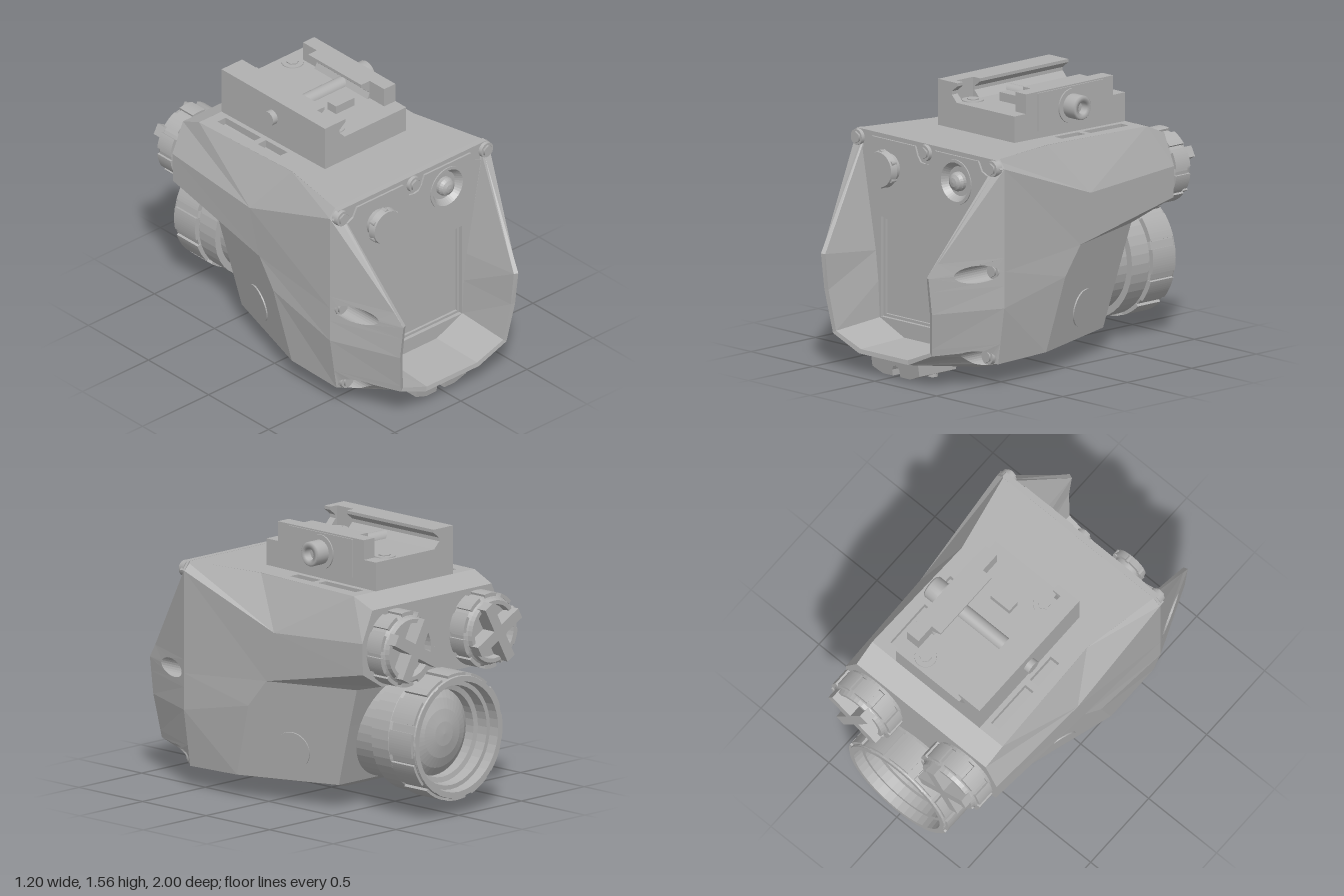
import * as THREE from 'three';

const grey = new THREE.MeshStandardMaterial({ color: 0xb0b0b0, side: THREE.DoubleSide });
grey.name = 'grey';

const flip = ([x, y, z]) => [-x, y, z];
const mirrorRow = (half) => [...half, ...half.map(flip).reverse()];
const mirrorFaces = (faces) => faces.map((f) => f.map(flip).reverse());

// Flat-shaded surface from a list of polygons
function polys(list) {
  const pos = [];
  for (const p of list)
    for (let i = 1; i < p.length - 1; i++) pos.push(...p[0], ...p[i], ...p[i + 1]);
  const g = new THREE.BufferGeometry();
  g.setAttribute('position', new THREE.Float32BufferAttribute(pos, 3));
  g.computeVertexNormals();
  return g;
}
const strip = (a, b) => a.slice(1).map((_, i) => [a[i], b[i], b[i + 1], a[i + 1]]);

// Piecewise-linear lookup over [input, output] pairs in rising order
function lookup(table, v) {
  if (v <= table[0][0]) return table[0][1];
  for (let i = 1; i < table.length; i++) {
    const [a, b] = [table[i - 1], table[i]];
    if (v <= b[0]) return a[1] + (b[1] - a[1]) * (v - a[0]) / (b[0] - a[0]);
  }
  return table[table.length - 1][1];
}

const shapeOf = (pts) => new THREE.Shape(pts.map(([x, y]) => new THREE.Vector2(x, y)));
const circleHole = (x, y, r) => new THREE.Path().absarc(x, y, r, 0, Math.PI * 2, true);
const rectHole = (x0, y0, x1, y1) =>
  new THREE.Path([[x0, y0], [x0, y1], [x1, y1], [x1, y0]].map((p) => new THREE.Vector2(...p)));
function extrude(shape, depth, segs = 16) {
  return new THREE.ExtrudeGeometry(shape, { depth, bevelEnabled: false, curveSegments: segs });
}

export function createModel() {
  const root = new THREE.Group();
  const add = (name, geo, x = 0, y = 0, z = 0, parent = root) => {
    const m = new THREE.Mesh(geo, grey);
    m.name = name;
    m.position.set(x, y, z);
    parent.add(m);
    return m;
  };
  const box = (name, x0, x1, y0, y1, z0, z1) => add(name,
    new THREE.BoxGeometry(x1 - x0, y1 - y0, z1 - z0), (x0 + x1) / 2, (y0 + y1) / 2, (z0 + z1) / 2);
  // Cylinder along z from z0 to z1
  const rod = (name, x, y, z0, z1, r0, r1 = r0, n = 32) => add(name,
    new THREE.CylinderGeometry(r1, r0, z1 - z0, n).rotateX(Math.PI / 2), x, y, (z0 + z1) / 2);
  // Faceted turned part along z
  const latheZ = (name, pts, x, y, z, n = 40) => {
    const g = new THREE.LatheGeometry(pts.map((p) => new THREE.Vector2(...p)), n).rotateX(Math.PI / 2).toNonIndexed();
    g.computeVertexNormals();
    add(name, g, x, y, z);
  };

  // Faceted housing: half of the corners, mirrored across x
  const v = {
    B0: [.56, 1.3, .6], C0: [.6, 1.25, .57], D0: [.6, .66, .57], E0: [.6, .45, .57], F0: [.55, .12, .57], G0: [.4, .08, .57],
    B1: [.46, 1.29, .1], C1: [.58, 1, -.12], D1: [.57, .71, -.05], E1: [.583, .55, .08], F1: [.552, .13, .2], G1: [.4, .092, .2],
    B2: [.48, 1.28, -.65], T2: [.475, 1.22, -.79], C2: [.555, 1.04, -.79], D2: [.55, .86, -.79], U2: [.4, .77, -.79],
    L2: [.406, .72, -.6], E2: [.392, .5, -.53], F2: [.367, .14, -.42], G2: [.27, .11, -.37],
  };
  const corners = (s) => s.split(' ').map((k) => v[k]);
  const sides = ['B0 B1 C1 C0', 'C0 C1 D1 D0', 'D0 D1 E1 E0', 'E0 E1 F1 F0', 'F0 F1 G1 G0',
    'B1 B2 C1', 'B2 T2 C2 C1', 'C1 C2 D2 D1', 'D1 D2 U2 L2',
    'D1 L2 E2 E1', 'E1 E2 F2 F1', 'F1 F2 G2 G1'].map(corners);
  const across = ['B2 T2', 'T2 C2', 'C2 D2', 'D2 U2', 'U2 L2', 'L2 E2', 'E2 F2', 'F2 G2', 'G2 G1', 'G1 G0']
    .map(corners).map(([a, b]) => [a, flip(a), flip(b), b]);
  add('housing', polys([...sides, ...mirrorFaces(sides), ...across]));

  // Top deck with four open slots
  const deckHalf = [[.56, -.6], [.46, -.1], [.48, .65]];
  const deck = shapeOf([...deckHalf, ...deckHalf.map(([x, y]) => [-x, y]).reverse()]);
  for (const s of [-1, 1])
    for (const [a, b] of [[.29, .585], [.07, .25]]) {
      const [x0, x1] = [s * .37 - .031, s * .37 + .031];
      deck.holes.push(rectHole(x0, a, x1, b));
      box('slotFloor', x0, x1, 1.225, 1.24, -b, -a);
    }
  const deckGeo = extrude(deck, .05).rotateX(-Math.PI / 2);
  const dp = deckGeo.attributes.position;
  for (let i = 0; i < dp.count; i++) dp.setY(i, dp.getY(i) + 1.24 + .016 * dp.getZ(i));
  deckGeo.computeVertexNormals();
  add('topDeck', deckGeo);

  // Hood flanks: sloped bands with round screw pockets sunk into them
  const outerX = [[.08, .4], [.12, .55], [.45, .6]];
  const innerX = [[.115, .2], [.2, .4], [.45, .435], [.66, .435], [1.22, .54]];
  const rimZ = [[.115, .93], [.2, .94], [.45, .973], [.66, 1], [1.22, .6]];
  const flankZ = (x, y) => {
    const o = lookup(outerX, y), u = THREE.MathUtils.clamp((o - x) / (o - lookup(innerX, y)), 0, 1);
    return .57 + u * (lookup(rimZ, y) - .57);
  };
  const out = (y) => [lookup(outerX, y), y], inn = (y) => [lookup(innerX, y), y];
  const pockets = [[.54, .66], [.497, .16]];
  const bands = [
    [out(1.25), inn(1.22), inn(.74), out(.74)],
    [out(.74), inn(.74), inn(.66), inn(.58), out(.58), out(.66)],
    [out(.58), inn(.58), inn(.45), out(.45)],
    [out(.45), inn(.45), inn(.24), out(.24)],
    [out(.24), inn(.24), inn(.2), [.2, .115], [.4, .08], out(.12)],
  ].map(shapeOf);
  bands[1].holes.push(circleHole(...pockets[0], .05));
  bands[4].holes.push(circleHole(...pockets[1], .05));
  const flank = bands.flatMap((b) => {
    const g = new THREE.ShapeGeometry(b, 12).toNonIndexed(), p = g.attributes.position;
    const pt = (i) => [p.getX(i), p.getY(i), flankZ(p.getX(i), p.getY(i))];
    return Array.from({ length: p.count / 3 }, (_, t) => [pt(t * 3), pt(t * 3 + 1), pt(t * 3 + 2)]);
  });
  for (const [x, y] of pockets) {
    const ring = Array.from({ length: 25 }, (_, i) => {
      const a = i * Math.PI / 12;
      return [x + .05 * Math.cos(a), y + .05 * Math.sin(a)];
    });
    const floor = ring.map(([a, b]) => [a, b, .585]);
    flank.push(...strip(ring.map(([a, b]) => [a, b, flankZ(a, b)]), floor), floor);
  }
  add('leftHoodFlank', polys(flank));
  add('rightHoodFlank', polys(mirrorFaces(flank)));

  // Hood rim, inner walls and outer floor
  const rim = mirrorRow([[.54, 1.22, .6], [.435, .66, 1], [.435, .45, .973], [.4, .2, .94], [.2, .115, .93]]);
  const lip = mirrorRow([[.52, 1.22, .605], [.41, .66, .99], [.41, .45, .965], [.38, .215, .935], [.19, .14, .925]]);
  const panelHalf = [[.51, 1.22, .6], [.405, .62, .6], [.385, .45, .6], [.375, .24, .6], [.18, .155, .6]];
  add('hoodRim', polys(strip(rim, lip)));
  add('hoodInside', polys(strip(lip, mirrorRow(panelHalf))));
  add('hoodUnderside', polys([[[.4, .08, .57], [.2, .115, .93], [-.2, .115, .93], [-.4, .08, .57]]]));

  // Front panel with screen recess and joystick well
  const panelEdge = [[0, 1.3], [.56, 1.3], [.6, 1.25], [.54, 1.22], ...panelHalf];
  const trimEdge = [[0, 1.185], [.035, 1.19], [.06, 1.225], [.08, 1.275], [.43, 1.275], [.46, 1.22], [.505, 1.2],
    [.395, .62], [.375, .45], [.365, .25], [.18, .17]];
  const plate = (name, half, z, depth, open) => {
    const s = shapeOf([...half, ...half.slice(1).map(([x, y]) => [-x, y]).reverse()]);
    if (open) s.holes.push(rectHole(-.355, .25, .36, .825), circleHole(.25, 1.125, .12));
    add(name, extrude(s, depth), 0, 0, z);
  };
  plate('panelBacking', panelEdge, .565, .01, false);
  plate('frontPanel', panelEdge, .575, .025, true);
  plate('panelTrim', trimEdge, .6, .012, true);
  const bezel = shapeOf([[-.355, .25], [.36, .25], [.36, .825], [-.355, .825]]);
  bezel.holes.push(rectHole(-.34, .265, .345, .81));
  add('screenBezel', extrude(bezel, .015), 0, 0, .575);

  // Button and joystick
  rod('buttonNeck', -.28, 1.12, .6, .665, .08);
  rod('buttonCap', -.28, 1.12, .66, .7, .108, .1);
  for (let i = 0; i < 6; i++) {
    const a = i * Math.PI / 3 + .5;
    rod('buttonRib', -.28 + .098 * Math.cos(a), 1.12 + .098 * Math.sin(a), .655, .69, .014, .014, 8);
  }
  latheZ('joystickWell', [[.13, .035], [.13, .042], [.112, .042], [.085, .004], [0, .002]], .25, 1.125, .577);
  latheZ('joystickTip', [[.055, 0], [.055, .025], [.045, .045], [.025, .056], [0, .06]], .25, 1.125, .577, 24);

  // Cover screws
  for (const [x, y, z] of [[.545, 1.25, .6], [-.545, 1.25, .6], [0, 1.25, .6],
    ...pockets.flatMap(([a, b]) => [[a, b, .585], [-a, b, .585]])]) {
    rod('screwHead', x, y, z - .02, z + .02, .05, .045, 24);
    rod('screwHex', x, y, z + .02, z + .032, .034, .034, 6);
  }

  // Objective barrel, hollow toward the back, with domed glass
  const ly = .45;
  latheZ('lensBarrel', [[.31, .7], [.31, .34], [.35, .34], [.35, .21], [.335, .2], [.335, .19], [.35, .185],
    [.35, .01], [.345, 0], [.315, 0], [.31, .06], [.285, .06], [.28, .125], [.25, .13], [.25, .22]], 0, ly, -1);
  latheZ('lensGlass', [[.25, .19], [.2, .155], [.14, .13], [.07, .115], [0, .11]], 0, ly, -1);

  // Raised grip pads spread around an axis along z
  const grips = (name, cx, cy, r0, r1, z, depth, n, fill) => {
    for (let i = 0; i < n; i++) {
      const a = Math.PI / 2 + i * Math.PI * 2 / n, h = fill * Math.PI / n;
      const s = new THREE.Shape().absarc(0, 0, r1, a - h, a + h, false).absarc(0, 0, r0, a + h, a - h, true);
      add(name, extrude(s, depth, 5), cx, cy, z);
    }
  };
  grips('lensGrip', 0, ly, .335, .365, -.985, .175, 12, .75);
  grips('lensTooth', 0, ly, .315, .347, -1, .03, 6, .9);

  // Twin rear caps with cross-shaped handles
  for (const s of [1, -1]) {
    const x = s * .33, y = .995;
    latheZ('capBody', [[.185, .25], [.185, .19], [.205, .18], [.205, .085], [.185, .07], [.178, .045], [.155, .045],
      [.15, .09], [0, .09]], x, y, -1);
    grips('capGrip', x, y, .195, .217, -.925, .11, 10, .7);
    for (const a of [.5, .5 + Math.PI / 2]) {
      const bar = add('capHandle', new THREE.BoxGeometry(.365, .065, .1), x, y, -.95);
      bar.rotation.z = s * a;
    }
  }

  // Flush round covers on the lower sides
  for (const s of [1, -1]) {
    const m = add('sideCover', new THREE.CylinderGeometry(.11, .11, .016, 40).rotateX(Math.PI / 2), s * .473, .315, -.16);
    m.lookAt(s * 1.473, .155, -.46);
  }

  // Rail mount on the roof, its fixed jaw relieved around the front screw
  box('mountBase', -.31, .305, 1.27, 1.445, -.65, .21);
  const jaw = (name, pts, z0, z1) => add(name, extrude(shapeOf(pts), z1 - z0), 0, 0, z0);
  const hook = [[-.31, 1.44], [-.155, 1.44], [-.2, 1.485], [-.2, 1.505], [-.155, 1.54], [-.155, 1.558], [-.31, 1.558]];
  jaw('fixedJawRear', hook, -.65, .035);
  jaw('fixedJawRelief', [[-.31, 1.44], [-.21, 1.44], [-.21, 1.558], [-.31, 1.558]], .035, .165);
  jaw('fixedJawFront', hook, .165, .21);
  jaw('clampJaw', [[.305, 1.44], [.2, 1.44], [.22, 1.48], [.2, 1.5], [.155, 1.54], [.155, 1.558], [.305, 1.558]], -.44, 0);
  box('clampWall', .22, .305, 1.44, 1.558, -.555, .12);
  box('clampPlate', .3, .312, 1.33, 1.55, -.47, .03);
  box('recoilLug', -.035, .105, 1.44, 1.495, -.07, 0);
  const crossRod = (name, x0, x1, r, n = 24) => add(name,
    new THREE.CylinderGeometry(r, r, x1 - x0, n).rotateZ(Math.PI / 2), (x0 + x1) / 2, 1.44, -.225);
  crossRod('crossBolt', -.345, .32, .043);
  crossRod('boltCollar', .305, .32, .1);
  const knob = [[.035, -.03], [.035, .085], [.06, .09], [.07, .08], [.07, 0]].map((p) => new THREE.Vector2(...p));
  add('boltHead', new THREE.LatheGeometry(knob, 24).rotateZ(-Math.PI / 2), .32, 1.44, -.225);
  crossRod('boltSocket', .32, .365, .035, 6);
  for (const [x, z] of [[.155, -.57], [-.145, .1]]) {
    add('mountScrew', new THREE.CylinderGeometry(.062, .065, .02, 24), x, 1.441, z);
    add('mountScrewHex', new THREE.CylinderGeometry(.035, .035, .02, 6), x, 1.447, z);
  }

  // Foot bracket with a centre groove and two screws
  const foot = shapeOf([[-.19, .12], [-.19, .03], [-.11, 0], [-.03, 0], [-.03, .035], [-.02, .055], [0, .063],
    [.02, .055], [.03, .035], [.03, 0], [.11, 0], [.19, .03], [.19, .12]]);
  const footGeo = extrude(foot, .27);
  const fp = footGeo.attributes.position;
  for (let i = 0; i < fp.count; i++) {
    const flare = fp.getY(i) / .12;
    fp.setZ(i, fp.getZ(i) + (fp.getZ(i) > .1 ? .02 : -.03) * flare);
  }
  footGeo.computeVertexNormals();
  add('footBracket', footGeo, 0, 0, .56);
  for (const s of [1, -1]) {
    add('footScrew', new THREE.CylinderGeometry(.03, .03, .03, 20), s * .145, .019, .69);
    add('footScrewHex', new THREE.CylinderGeometry(.018, .018, .03, 6), s * .145, .015, .69);
  }
  return root;
}
